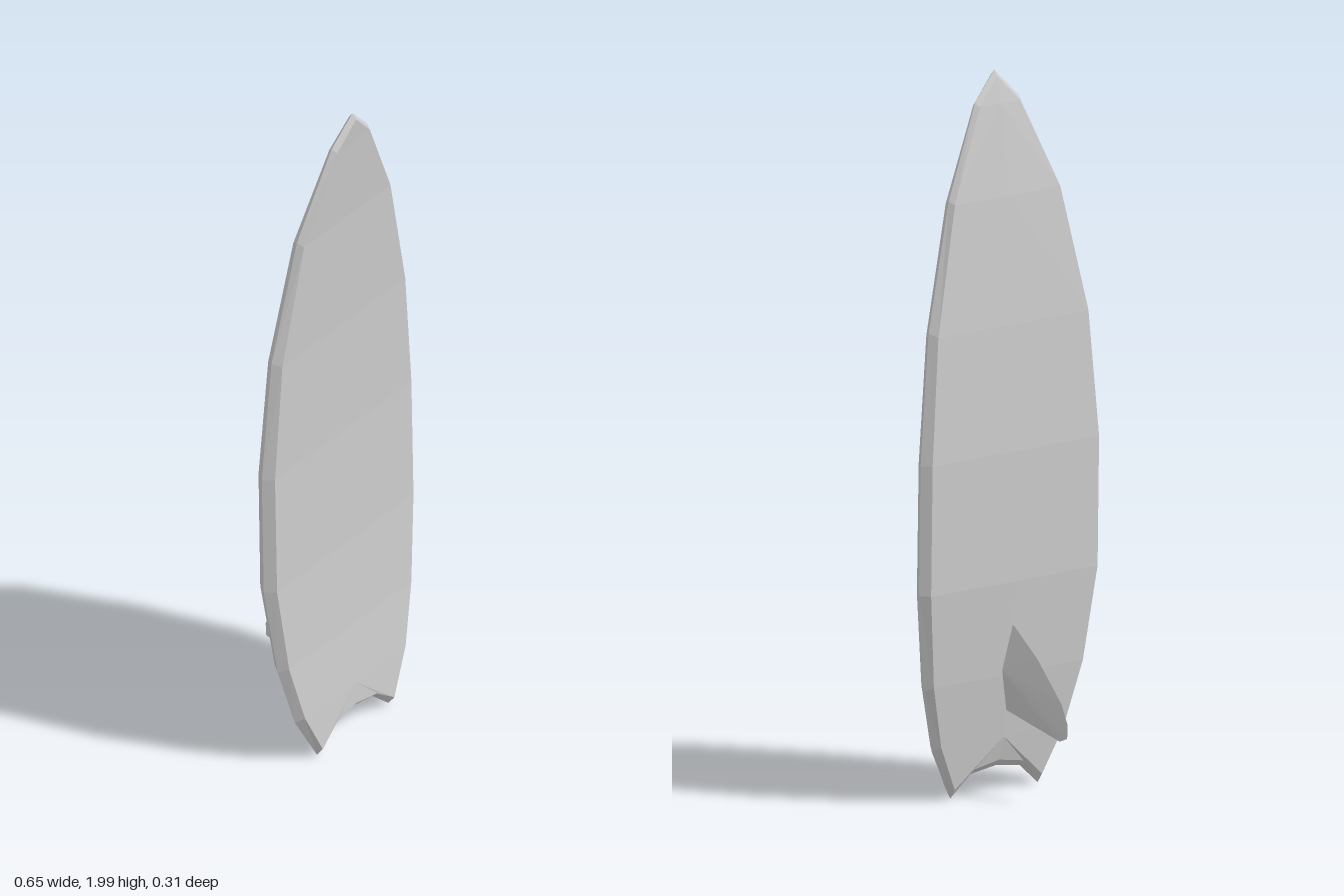
import * as THREE from 'three';

// Half outline from nose, down the rail, to the tail notch:
// [rail x, rail y, deck x, deck y, deck z, bottom z]
const stations = [
  [0, 2.0, 0, 1.985, 0.15, 0.126],
  [0.08, 1.92, 0.073, 1.91, 0.141, 0.114],
  [0.2, 1.67, 0.193, 1.66, 0.12, 0.083],
  [0.29, 1.32, 0.275, 1.31, 0.108, 0.06],
  [0.325, 0.96, 0.305, 0.96, 0.106, 0.05],
  [0.325, 0.6, 0.305, 0.6, 0.113, 0.056],
  [0.29, 0.33, 0.273, 0.34, 0.13, 0.08],
  [0.24, 0.15, 0.225, 0.165, 0.147, 0.103],
  [0.16, 0.01, 0.16, 0.036, 0.158, 0.12],
  [0.09, 0.068, 0.09, 0.083, 0.152, 0.118],
  [0, 0.08, 0, 0.098, 0.15, 0.117],
];
const LAST_ROW = 7; // last station with a point on the centre line

// Collects triangles together with their mirror images across x = 0
function mirroredBuilder() {
  const pos = [];
  const mirror = (p) => [-p[0], p[1], p[2]];
  const tri = (a, b, c) => {
    pos.push(...a, ...b, ...c, ...mirror(a), ...mirror(c), ...mirror(b));
  };
  const quad = (a, b, c, d) => { tri(a, b, c); tri(a, c, d); };
  const build = () => {
    const g = new THREE.BufferGeometry();
    g.setAttribute('position', new THREE.Float32BufferAttribute(pos, 3));
    g.computeVertexNormals(); // unshared corners give flat facets
    return g;
  };
  return { tri, quad, build };
}

// Half of a broad face: nose triangle, rows, then a fan around the tail notch
function addFace(b, edge, vee, front) {
  const tri = front ? b.tri : (p, q, r) => b.tri(p, r, q);
  const centre = edge.map((p) => [0, p[1], p[2] - vee]);
  tri(centre[1], edge[1], edge[0]);
  for (let k = 1; k < LAST_ROW; k++) {
    tri(centre[k], edge[k + 1], edge[k]);
    tri(centre[k], centre[k + 1], edge[k + 1]);
  }
  for (let k = LAST_ROW; k < edge.length - 1; k++) {
    tri(centre[LAST_ROW], edge[k + 1], edge[k]);
  }
}

function boardGeometry() {
  const b = mirroredBuilder();
  const deck = stations.map((s) => [s[2], s[3], s[4]]);
  const bottom = stations.map((s) => [s[2], s[3], s[5]]);
  const rail = stations.map((s) => [s[0], s[1], s[5] + (s[4] - s[5]) * 0.47]);
  addFace(b, deck, 0, true);
  addFace(b, bottom, 0.005, false);
  // Bevelled rails, nose and notch
  for (let k = 0; k < stations.length - 1; k++) {
    b.quad(deck[k], deck[k + 1], rail[k + 1], rail[k]);
    b.quad(rail[k], rail[k + 1], bottom[k + 1], bottom[k]);
  }
  return b.build();
}

// Swept fin: thin edge outline around a thick point at its root
function finGeometry() {
  const b = mirroredBuilder();
  const outline = [
    [0.49, 0.085], [0.475, 0.055], [0.4, -0.035], [0.29, -0.132],
    [0.235, -0.157], [0.197, -0.155], [0.185, -0.125], [0.24, 0.09], [0.245, 0.11],
  ].map(([y, z]) => [0, y, z]);
  const root = [0.029, 0.36, 0.085];
  for (let k = 0; k < outline.length - 1; k++) b.tri(root, outline[k + 1], outline[k]);
  return b.build();
}

export function createModel() {
  const group = new THREE.Group();
  group.name = 'surfboard';
  const grey = new THREE.MeshStandardMaterial({ color: 0xcccccc });
  grey.name = 'light grey';
  const board = new THREE.Mesh(boardGeometry(), grey);
  board.name = 'board';
  const fin = new THREE.Mesh(finGeometry(), grey);
  fin.name = 'fin';
  group.add(board, fin);
  return group;
}
